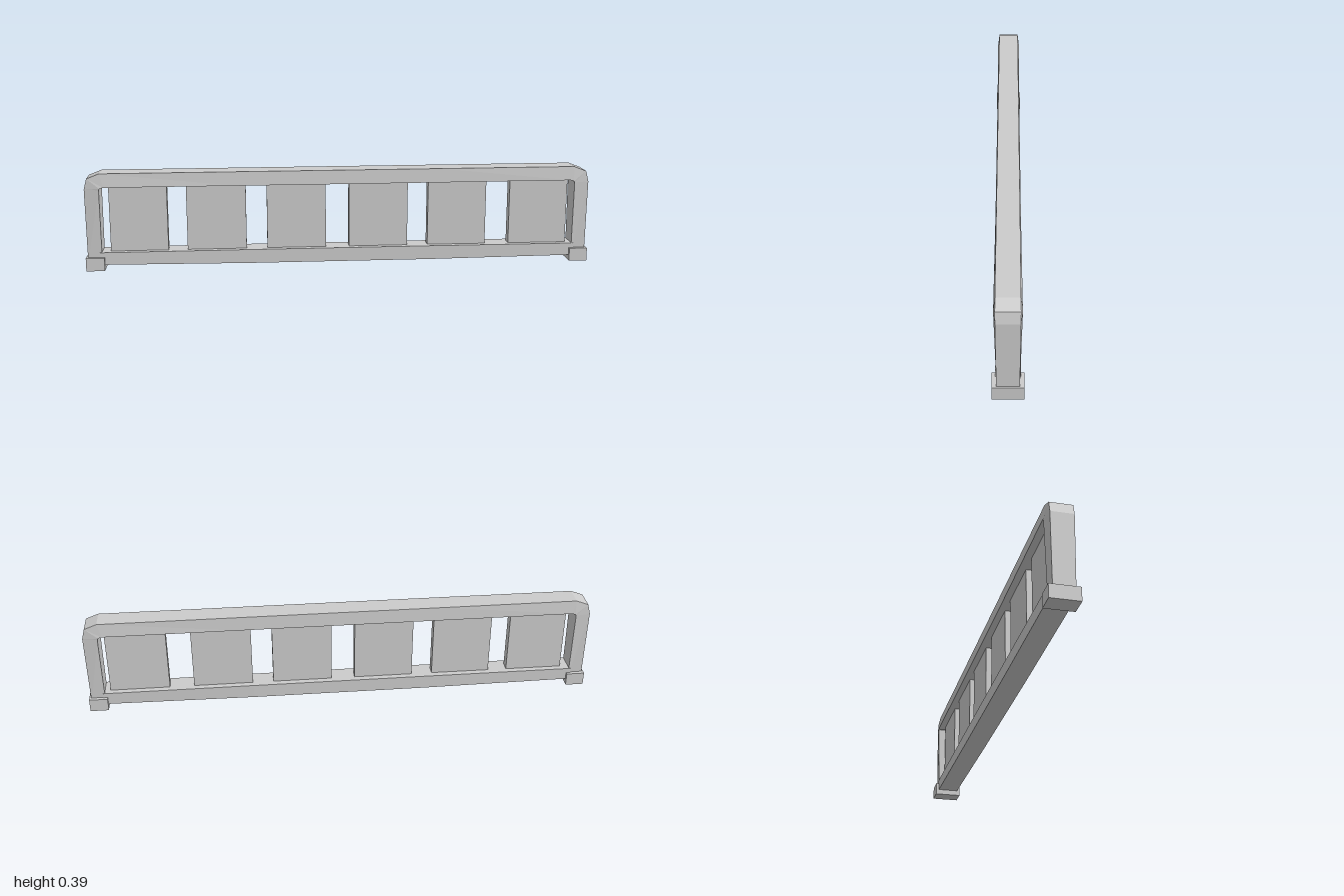
import * as THREE from 'three';

const grey = new THREE.MeshStandardMaterial({ color: 0xcccccc, flatShading: true });

// Four-sided beam through sections [outerX, outerY, innerX, innerY, outerHalfDepth, innerHalfDepth]
function beam(sections) {
  const rings = sections.map(([ox, oy, ix, iy, od, id]) => [
    [ox, oy, od], [ox, oy, -od], [ix, iy, -id], [ix, iy, id],
  ]);
  const pos = [];
  const quad = (a, b, c, d) => pos.push(...a, ...b, ...d, ...b, ...c, ...d);
  for (let i = 0; i < rings.length - 1; i++) {
    const s = rings[i], t = rings[i + 1];
    for (let k = 0; k < 4; k++) {
      const n = (k + 1) % 4;
      quad(s[k], t[k], t[n], s[n]);
    }
  }
  const first = rings[0], last = rings[rings.length - 1];
  quad(first[0], first[1], first[2], first[3]);
  quad(last[3], last[2], last[1], last[0]);
  const geo = new THREE.BufferGeometry();
  geo.setAttribute('position', new THREE.Float32BufferAttribute(pos, 3));
  geo.computeVertexNormals();
  return geo;
}

// Complete a left half of sections with its mirror image
const mirrored = (half) => [
  ...half,
  ...half.slice().reverse().map(([ox, oy, ix, ...rest]) => [-ox, oy, -ix, ...rest]),
];

export function createModel() {
  const model = new THREE.Group();
  const add = (name, geo, x = 0, y = 0, z = 0) => {
    const mesh = new THREE.Mesh(geo, grey);
    mesh.name = name;
    mesh.position.set(x, y, z);
    model.add(mesh);
  };

  // Posts and top rail in one piece, with bevelled outer corners
  add('archFrame', beam(mirrored([
    [-0.993, 0.03, -0.938, 0.03, 0.039, 0.040],
    [-0.995, 0.325, -0.938, 0.322, 0.042, 0.048],
    [-0.984, 0.367, -0.935, 0.328, 0.042, 0.049],
    [-0.935, 0.386, -0.92, 0.332, 0.042, 0.048],
    [-0.4, 0.386, -0.4, 0.331, 0.042, 0.046],
  ])));

  // Bottom rail, very slightly bowed
  add('bottomRail', beam(mirrored([
    [-0.945, 0.071, -0.945, 0.022, 0.043, 0.043],
    [-0.35, 0.072, -0.35, 0.017, 0.044, 0.044],
  ])));

  // Feet
  for (const side of [-1, 1]) {
    add(side > 0 ? 'leftFoot' : 'rightFoot', new THREE.BoxGeometry(0.072, 0.052, 0.11), side * 0.964, 0.026, 0);
  }

  // Wide slats, a little unevenly spaced
  [[-0.905, -0.68], [-0.605, -0.372], [-0.29, -0.057], [0.036, 0.27], [0.352, 0.586], [0.682, 0.916]]
    .forEach(([x0, x1], i) => {
      add(`slat${i + 1}`, new THREE.BoxGeometry(x1 - x0, 0.3, 0.04), (x0 + x1) / 2, 0.2, 0);
    });

  return model;
}
